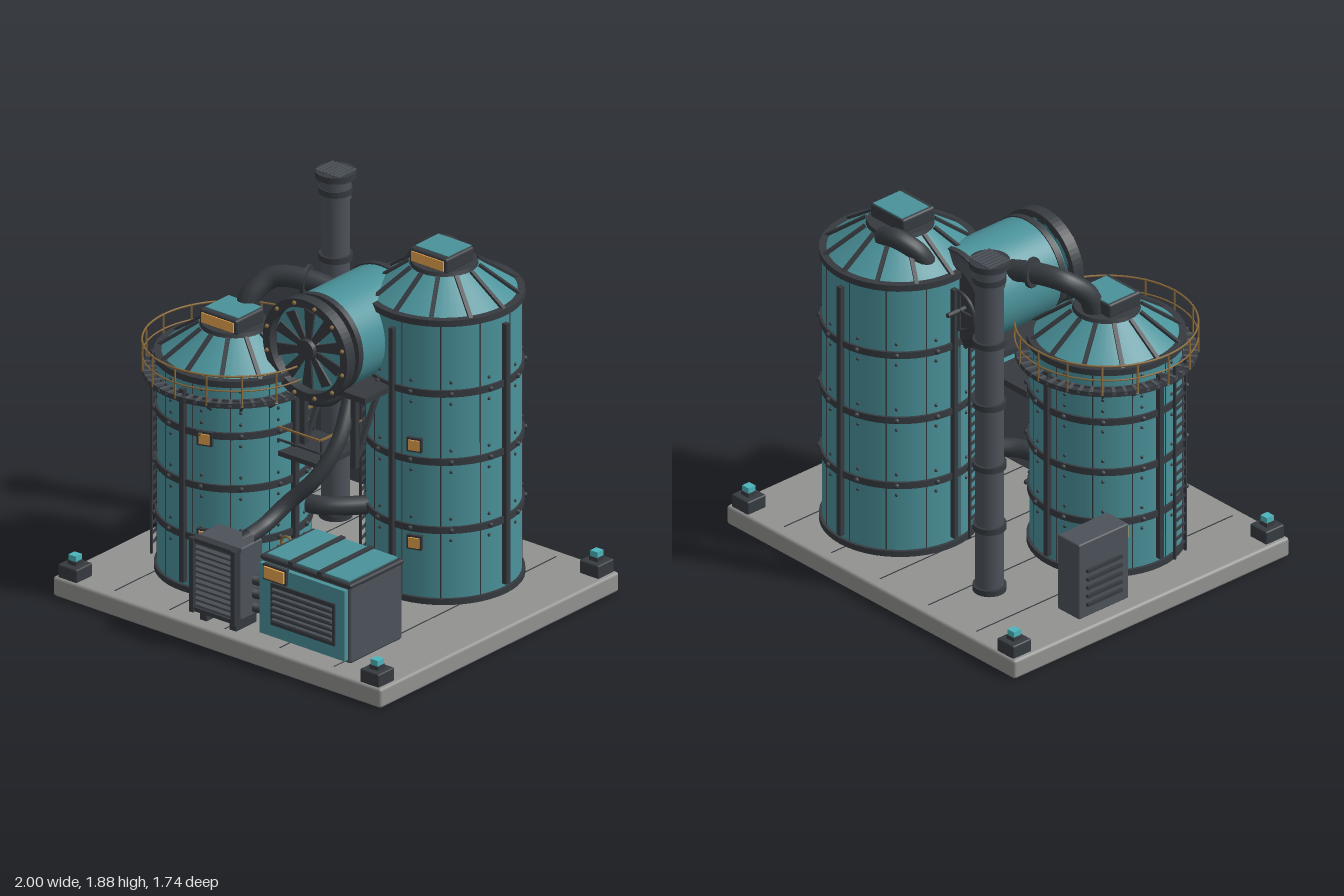
import * as THREE from 'three';
import { RoundedBoxGeometry } from 'three/addons/geometries/RoundedBoxGeometry.js';

const mat = (c) => new THREE.MeshStandardMaterial({ color: c, side: THREE.DoubleSide });
const TEAL = mat(0x4a929a), DARK = mat(0x363b40), STEEL = mat(0x4d525a),
  AMBER = mat(0xe8a54e), BRASS = mat(0x8a6a3a), SLAB = mat(0x929391), LAMP = mat(0x4cb4bc);
const V = (x, y, z) => new THREE.Vector3(x, y, z);
const UP = V(0, 1, 0);

function add(parent, name, geo, m, x = 0, y = 0, z = 0) {
  const o = new THREE.Mesh(geo, m);
  o.name = name;
  o.position.set(x, y, z);
  parent.add(o);
  return o;
}
function group(parent, name, x = 0, y = 0, z = 0) {
  const g = new THREE.Group();
  g.name = name;
  g.position.set(x, y, z);
  parent.add(g);
  return g;
}
// Box given by its limits on each axis
function box(p, name, m, x0, x1, y0, y1, z0, z1, r = 0) {
  const s = [x1 - x0, y1 - y0, z1 - z0];
  const geo = r ? new RoundedBoxGeometry(...s, 2, r) : new THREE.BoxGeometry(...s);
  return add(p, name, geo, m, (x0 + x1) / 2, (y0 + y1) / 2, (z0 + z1) / 2);
}
function cyl(p, name, m, r0, r1, y0, y1, x = 0, z = 0, seg = 32, open = false) {
  return add(p, name, new THREE.CylinderGeometry(r1, r0, y1 - y0, seg, 1, open), m, x, (y0 + y1) / 2, z);
}
// Square or round bar between two points of the parent's frame
function bar(p, name, m, a, b, w, d = w, round = false) {
  const len = a.distanceTo(b);
  const geo = round ? new THREE.CylinderGeometry(w, w, len, 12) : new THREE.BoxGeometry(w, d, len);
  if (round) geo.rotateX(Math.PI / 2);
  const o = add(p, name, geo, m);
  o.position.copy(a).add(b).multiplyScalar(0.5);
  o.quaternion.setFromRotationMatrix(new THREE.Matrix4().lookAt(b, a, UP));
  return o;
}
const pipe = (p, name, m, r, pts) => add(p, name,
  new THREE.TubeGeometry(new THREE.CatmullRomCurve3(pts.map((q) => V(...q))), 40, r, 14), m);
const polar = (r, a, y) => V(Math.sin(a) * r, y, Math.cos(a) * r);
function hoop(p, name, m, r, t, y) {
  const o = add(p, name, new THREE.TorusGeometry(r, t, 6, 64), m, 0, y, 0);
  o.rotation.x = Math.PI / 2;
}
function around(n, fn) {
  for (let i = 0; i < n; i++) fn((i / n) * Math.PI * 2);
}

function tank(parent, name, x, z, r, top, bands, panelHeights) {
  const g = group(parent, name, x, 0, z);
  cyl(g, 'shell', TEAL, r, r, 0.1, top, 0, 0, 48);
  cyl(g, 'footRing', DARK, r + 0.015, r + 0.015, 0.1, 0.13, 0, 0, 48);
  const rivet = new THREE.SphereGeometry(0.009, 6, 4);
  for (const y of bands) {
    cyl(g, 'band', DARK, r + 0.012, r + 0.012, y - 0.017, y + 0.017, 0, 0, 48);
    around(12, (a) => {
      const b = a + Math.PI / 12;
      add(g, 'bandBolt', new THREE.SphereGeometry(0.014, 6, 4), DARK, ...polar(r + 0.014, b, y).toArray());
      for (const dy of [-0.055, 0.055]) add(g, 'rivet', rivet, DARK, ...polar(r, b, y + dy).toArray());
    });
  }
  // Shell seams and four upright ribs
  around(12, (a) => bar(g, 'seam', DARK, polar(r, a + 0.13, 0.12), polar(r, a + 0.13, top), 0.004));
  around(4, (a) => {
    const o = box(g, 'rib', DARK, -0.013, 0.013, 0.15, top - 0.06, -0.013, 0.013);
    o.position.copy(polar(r + 0.012, a, (0.15 + top - 0.06) / 2));
    o.rotation.y = a;
  });
  // Conical roof, its ribs and the lit hatch
  const rt = 0.165, yt = top + 0.145;
  cyl(g, 'roof', TEAL, r, rt - 0.01, top, yt, 0, 0, 48);
  cyl(g, 'eaves', DARK, r + 0.015, r + 0.015, top - 0.018, top + 0.014, 0, 0, 48);
  cyl(g, 'roofCollar', DARK, rt, rt - 0.01, yt - 0.015, yt + 0.015);
  around(12, (a) => bar(g, 'roofRib', DARK, polar(r, a, top + 0.004), polar(rt, a, yt - 0.004), 0.02));
  box(g, 'hatch', DARK, -0.115, 0.115, yt + 0.008, yt + 0.084, -0.085, 0.118, 0.012);
  box(g, 'hatchLid', TEAL, -0.1, 0.1, yt + 0.075, yt + 0.088, -0.08, 0.09);
  box(g, 'hatchLamp', AMBER, -0.098, 0.098, yt + 0.02, yt + 0.07, 0.1, 0.124);
  for (const y of panelHeights) {
    const f = group(g, 'gauge', ...polar(r, 0.32, y).toArray());
    f.rotation.y = 0.32;
    box(f, 'gaugeFrame', DARK, -0.038, 0.038, -0.036, 0.036, -0.01, 0.018);
    box(f, 'gaugeFace', AMBER, -0.027, 0.027, -0.026, 0.026, 0, 0.025);
  }
  // Ladder
  const l = group(g, 'ladder', ...polar(r + 0.035, -1.25, 0).toArray());
  l.rotation.y = -1.25;
  for (const s of [-1, 1]) box(l, 'ladderRail', DARK, s * 0.05 - 0.006, s * 0.05 + 0.006, 0.12, top - 0.04, -0.006, 0.006);
  for (let y = 0.17; y < top - 0.05; y += 0.05) box(l, 'rung', DARK, -0.05, 0.05, y - 0.005, y + 0.005, -0.005, 0.005);
  return g;
}

// Ring walkway with a handrail
function walkway(g, r0, r1, y) {
  cyl(g, 'walkwayEdge', DARK, r1, r1, y - 0.01, y + 0.015, 0, 0, 64, true);
  const deck = add(g, 'deck', new THREE.RingGeometry(r0, r1, 64), DARK, 0, y, 0);
  deck.rotation.x = -Math.PI / 2;
  around(48, (a) => bar(g, 'slat', STEEL, polar(r0, a, y + 0.004), polar(r1, a, y + 0.004), 0.016, 0.012));
  around(16, (a) => {
    bar(g, 'railPost', BRASS, polar(r1, a, y), polar(r1, a, y + 0.16), 0.007);
    bar(g, 'deckBracket', DARK, polar(r0, a, y - 0.05), polar(r1, a, y), 0.012);
  });
  hoop(g, 'handrail', BRASS, r1, 0.005, y + 0.155);
  hoop(g, 'midRail', BRASS, r1, 0.004, y + 0.08);
}

function blower(parent) {
  const g = group(parent, 'blower', 0.07, 1.375, 0);
  const disc = (n, m, r0, r1, z0, z1) => {
    const o = cyl(g, n, m, r0, r1, z0, z1, 0, 0, 48);
    o.rotation.x = Math.PI / 2;
    o.position.set(0, 0, (z0 + z1) / 2);
  };
  disc('drum', TEAL, 0.242, 0.242, -0.25, 0.2);
  disc('rearBand', DARK, 0.25, 0.25, -0.27, -0.24);
  disc('rearCap', DARK, 0.2, 0.24, -0.3, -0.27);
  disc('frontBand', DARK, 0.248, 0.248, 0.18, 0.212);
  disc('fanNeck', TEAL, 0.2, 0.2, 0.2, 0.25);
  disc('fanBack', TEAL, 0.225, 0.225, 0.25, 0.258);
  disc('hub', DARK, 0.055, 0.05, 0.25, 0.31);
  const ring = new THREE.Shape().absarc(0, 0, 0.257, 0, Math.PI * 2);
  ring.holes.push(new THREE.Path().absarc(0, 0, 0.215, 0, Math.PI * 2, true));
  add(g, 'flange', new THREE.ExtrudeGeometry(ring, { depth: 0.06, bevelEnabled: false, curveSegments: 32 }), DARK, 0, 0, 0.25);
  // Tapered fan blades, widest near the rim
  const blade = new THREE.Shape([[-0.014, 0.04], [0.014, 0.04], [0.036, 0.19], [-0.024, 0.2]].map((p) => new THREE.Vector2(...p)));
  const bladeGeo = new THREE.ExtrudeGeometry(blade, { depth: 0.012, bevelEnabled: false });
  around(10, (a) => { add(g, 'fanBlade', bladeGeo, DARK, 0, 0, 0.275).rotation.z = a; });
  around(12, (a) => add(g, 'flangeBolt', new THREE.SphereGeometry(0.011, 8, 6), BRASS, Math.sin(a + 0.26) * 0.237, Math.cos(a + 0.26) * 0.237, 0.314));
  // Rear hand wheel
  add(g, 'rearWheel', new THREE.TorusGeometry(0.1, 0.01, 6, 24), DARK, -0.1, 0, -0.335);
  bar(g, 'wheelShaft', DARK, V(-0.1, 0, -0.28), V(-0.1, 0, -0.41), 0.012, 0, true);
  bar(g, 'wheelSpoke', DARK, V(-0.1, -0.1, -0.335), V(-0.1, 0.1, -0.335), 0.012);
  bar(g, 'wheelSpoke', DARK, V(-0.2, 0, -0.335), V(0, 0, -0.335), 0.012);
}

function louvres(p, n, x0, x1, y0, y1, z, m) {
  for (let i = 0; i < n; i++) {
    const y = y0 + ((i + 0.5) / n) * (y1 - y0);
    box(p, 'louvre', m, x0, x1, y - 0.008, y + 0.008, z - 0.01, z + 0.01).rotation.x = 0.4;
  }
}

export function createModel() {
  const root = new THREE.Group();
  root.name = 'processPlant';
  box(root, 'baseSlab', SLAB, -1, 1, 0, 0.1, -0.87, 0.87, 0.015);
  for (const x of [-0.67, -0.335, 0, 0.335, 0.665]) box(root, 'slabJoint', DARK, x - 0.003, x + 0.003, 0.09, 0.102, -0.81, 0.81);
  for (const x of [-0.92, 0.92]) for (const z of [-0.8, 0.8]) {
    box(root, 'cornerBlock', DARK, x - 0.058, x + 0.058, 0.09, 0.165, z - 0.058, z + 0.058, 0.008);
    box(root, 'lampFoot', DARK, x - 0.026, x + 0.026, 0.16, 0.185, z - 0.026, z + 0.026);
    box(root, 'cornerLamp', LAMP, x - 0.022, x + 0.022, 0.18, 0.213, z - 0.022, z + 0.022);
  }

  const low = tank(root, 'lowTank', -0.425, 0.235, 0.36, 1.2, [0.39, 0.66, 0.93, 1.1], [0.91, 0.41]);
  walkway(low, 0.36, 0.43, 1.11);
  tank(root, 'tallTank', 0.37, -0.345, 0.365, 1.545, [0.48, 0.83, 1.18], [0.91, 0.41]);
  blower(root);

  // Chimney
  const c = group(root, 'chimney', -0.42, 0, -0.5);
  cyl(c, 'stack', STEEL, 0.068, 0.068, 0.1, 1.85, 0, 0, 24);
  for (const y of [0.12, 0.45, 0.78, 1.11, 1.44, 1.78]) cyl(c, 'stackRing', DARK, 0.08, 0.08, y - 0.015, y + 0.015, 0, 0, 24);
  cyl(c, 'stackNeck', STEEL, 0.075, 0.075, 1.74, 1.85, 0, 0, 24);
  cyl(c, 'stackCap', DARK, 0.097, 0.097, 1.845, 1.876, 0, 0, 24);
  for (let i = -3; i <= 3; i++) box(c, 'capGrille', STEEL, i * 0.022 - 0.005, i * 0.022 + 0.005, 1.87, 1.883, -0.065, 0.065);

  // Pipework
  pipe(root, 'lowTankDuct', DARK, 0.052, [[-0.43, 1.34, 0.16], [-0.42, 1.45, 0.12], [-0.36, 1.53, 0.03], [-0.22, 1.54, -0.03], [-0.06, 1.51, -0.08]]);
  bar(root, 'ductFlange', DARK, V(-0.216, 1.54, -0.032), V(-0.2, 1.538, -0.038), 0.074, 0, true);
  pipe(root, 'tallTankDuct', DARK, 0.048, [[0.34, 1.68, -0.49], [0.25, 1.7, -0.48], [0.16, 1.65, -0.43], [0.12, 1.52, -0.35], [0.1, 1.45, -0.26]]);
  pipe(root, 'longHose', DARK, 0.038, [[0.16, 1.2, 0.06], [0.21, 1.08, 0.16], [0.235, 0.93, 0.27], [0.19, 0.78, 0.37], [0.08, 0.64, 0.46], [0.05, 0.57, 0.57], [0.05, 0.55, 0.7]]);
  pipe(root, 'tankLink', DARK, 0.045, [[-0.12, 0.47, 0.1], [0, 0.47, 0.06], [0.16, 0.47, -0.1]]);
  pipe(root, 'upperLink', DARK, 0.045, [[-0.1, 1.05, 0.15], [0, 1.03, 0.06], [0.04, 1.08, 0.02], [0.05, 1.2, 0]]);
  pipe(root, 'radiatorFeed', DARK, 0.035, [[-0.25, 0.3, 0.5], [-0.21, 0.25, 0.56], [-0.17, 0.23, 0.62], [-0.1, 0.25, 0.7]]);
  for (const y of [0.2, 0.27, 0.34]) pipe(root, 'coolantHose', DARK, 0.026, [[0.06, y, 0.7], [0.12, y - 0.01, 0.67], [0.2, y, 0.68]]);
  cyl(root, 'pump', STEEL, 0.08, 0.08, 0.1, 0.4, 0.12, 0.5);
  add(root, 'valveWheel', new THREE.TorusGeometry(0.035, 0.007, 6, 20), BRASS, 0.12, 0.465, 0.5);
  bar(root, 'valveStem', BRASS, V(0.12, 0.4, 0.5), V(0.12, 0.47, 0.5), 0.012, 0, true);

  // Blower cradle and service platform
  box(root, 'cradle', DARK, -0.21, 0.36, 1.15, 1.18, -0.26, 0.22);
  for (const x of [-0.04, 0.27]) {
    box(root, 'hanger', DARK, x - 0.015, x + 0.015, 0.79, 1.16, 0.17, 0.2);
    bar(root, 'brace', DARK, V(x, 0.82, 0.18), V(x, 1.15, 0), 0.022);
  }
  box(root, 'platform', DARK, -0.1, 0.18, 0.8, 0.825, 0.03, 0.33);
  for (const x of [-0.1, 0.18]) {
    bar(root, 'platformRail', BRASS, V(x, 0.95, 0.03), V(x, 0.95, 0.33), 0.009);
    for (const z of [0.04, 0.32]) box(root, 'platformPost', DARK, x - 0.005, x + 0.005, 0.82, 0.95, z - 0.005, z + 0.005);
  }
  bar(root, 'platformRail', BRASS, V(-0.1, 0.95, 0.33), V(0.18, 0.95, 0.33), 0.009);
  bar(root, 'platformMidRail', DARK, V(-0.1, 0.885, 0.33), V(0.18, 0.885, 0.33), 0.009);

  // Generator cabinet
  const gen = group(root, 'generator');
  box(gen, 'cabinet', STEEL, 0.18, 0.725, 0.11, 0.52, 0.38, 0.76, 0.015);
  box(gen, 'cabinetRim', DARK, 0.175, 0.73, 0.495, 0.52, 0.375, 0.765, 0.01);
  for (let i = 0; i < 3; i++) box(gen, 'roofPanel', TEAL, 0.205 + i * 0.176, 0.35 + i * 0.176, 0.5, 0.528, 0.39, 0.745);
  for (const x of [0.362, 0.538]) box(gen, 'roofStrap', DARK, x - 0.013, x + 0.013, 0.5, 0.534, 0.38, 0.765);
  box(gen, 'frontPanel', TEAL, 0.19, 0.71, 0.13, 0.49, 0.75, 0.785);
  box(gen, 'grille', DARK, 0.265, 0.655, 0.195, 0.41, 0.78, 0.795);
  louvres(gen, 6, 0.28, 0.64, 0.21, 0.395, 0.795, STEEL);
  box(gen, 'displayFrame', DARK, 0.225, 0.365, 0.42, 0.5, 0.78, 0.8);
  box(gen, 'display', AMBER, 0.235, 0.355, 0.432, 0.49, 0.79, 0.81);

  // Radiator
  const rad = group(root, 'radiator');
  box(rad, 'radiatorCase', STEEL, -0.18, 0.085, 0.16, 0.53, 0.635, 0.8, 0.008);
  for (const x of [-0.175, 0.08]) box(rad, 'radiatorFrame', DARK, x - 0.012, x + 0.012, 0.15, 0.53, 0.825, 0.848);
  for (const y of [0.165, 0.52]) box(rad, 'radiatorRail', DARK, -0.18, 0.085, y - 0.01, y + 0.01, 0.79, 0.84);
  louvres(rad, 12, -0.17, 0.075, 0.17, 0.52, 0.82, STEEL);
  for (const x of [-0.14, 0.04]) box(rad, 'radiatorFoot', DARK, x - 0.02, x + 0.02, 0.09, 0.17, 0.65, 0.8);

  // Side control cabinet
  const ctl = group(root, 'controlCabinet');
  box(ctl, 'controlCase', STEEL, -0.915, -0.765, 0.1, 0.5, -0.385, -0.07, 0.008);
  box(ctl, 'controlFrame', DARK, -0.89, -0.8, 0.39, 0.47, -0.08, -0.055);
  box(ctl, 'controlLamp', AMBER, -0.88, -0.81, 0.4, 0.46, -0.07, -0.04);
  for (let i = 0; i < 5; i++) box(ctl, 'controlVent', DARK, -0.93, -0.9, 0.16 + i * 0.045, 0.175 + i * 0.045, -0.34, -0.12);
  bar(ctl, 'conduit', DARK, V(-0.78, 0.3, -0.1), V(-0.62, 0.3, 0), 0.02, 0, true);
  return root;
}
